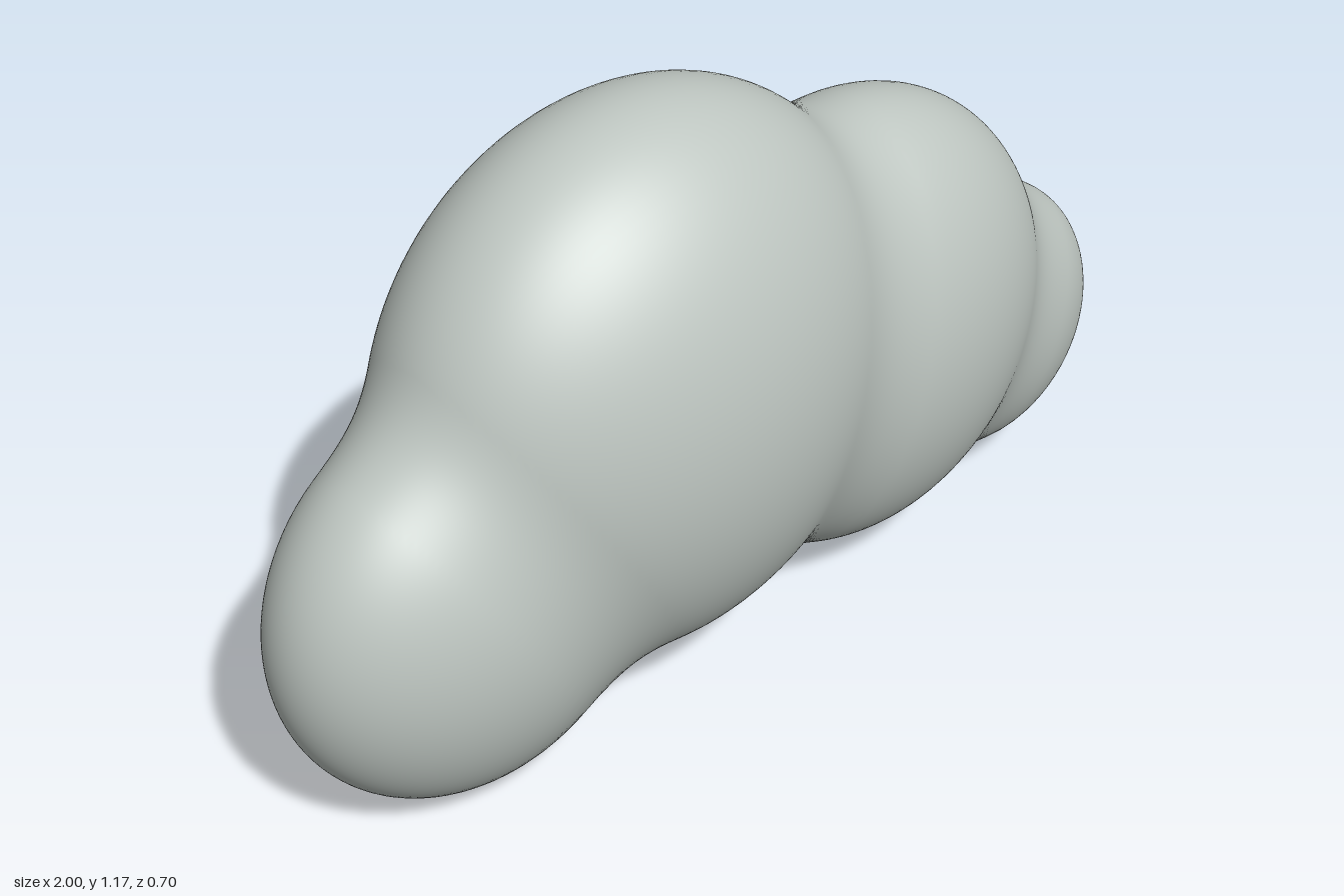
import * as THREE from 'three';

// Puffs of the cloud: centre x, centre y, radius
const PUFFS = [
  [-0.62, 0.382, 0.38],
  [-0.2, 0.635, 0.54],
  [0.33, 0.508, 0.457],
  [0.715, 0.338, 0.285],
];
const DEPTH = 0.65; // flattening from front to back
const BLEND = 0.1; // softness of the creases between puffs
const CORE = new THREE.Vector3(-0.02, 0.5, 0);

// Smoothly joined distance to all puffs, before flattening
function distance(p) {
  let d = Infinity;
  for (const [x, y, r] of PUFFS) {
    const e = Math.hypot(p.x - x, p.y - y, p.z) - r;
    const h = Math.max(BLEND - Math.abs(d - e), 0) / BLEND;
    d = Math.min(d, e) - (Number.isFinite(d) ? h * h * BLEND * 0.25 : 0);
  }
  return d;
}

function slope(p, axis) {
  const a = p.clone(), b = p.clone();
  a[axis] += 0.002;
  b[axis] -= 0.002;
  return distance(a) - distance(b);
}

function cloudGeometry() {
  // Poles lie along the length of the cloud
  const geometry = new THREE.SphereGeometry(1, 128, 128).rotateZ(-Math.PI / 2);
  const pos = geometry.attributes.position, nor = geometry.attributes.normal;
  const dir = new THREE.Vector3(), p = new THREE.Vector3(), n = new THREE.Vector3();
  for (let i = 0; i < pos.count; i++) {
    dir.fromBufferAttribute(pos, i);
    dir.x *= 1.7;
    dir.normalize();
    // Push each point out from the core to the blended surface
    let near = 0, far = 1.6;
    for (let k = 0; k < 24; k++) {
      const mid = (near + far) / 2;
      p.copy(CORE).addScaledVector(dir, mid);
      if (distance(p) < 0) near = mid;
      else far = mid;
    }
    n.set(slope(p, 'x'), slope(p, 'y'), slope(p, 'z') / DEPTH).normalize();
    pos.setXYZ(i, p.x, p.y, p.z * DEPTH);
    nor.setXYZ(i, n.x, n.y, n.z);
  }
  return geometry;
}

export function createModel() {
  const group = new THREE.Group();
  group.name = 'cloud';
  const material = new THREE.MeshStandardMaterial({ color: 0xbec6c1 });
  material.name = 'cloud grey';
  const body = new THREE.Mesh(cloudGeometry(), material);
  body.name = 'cloudBody';
  group.add(body);
  return group;
}
